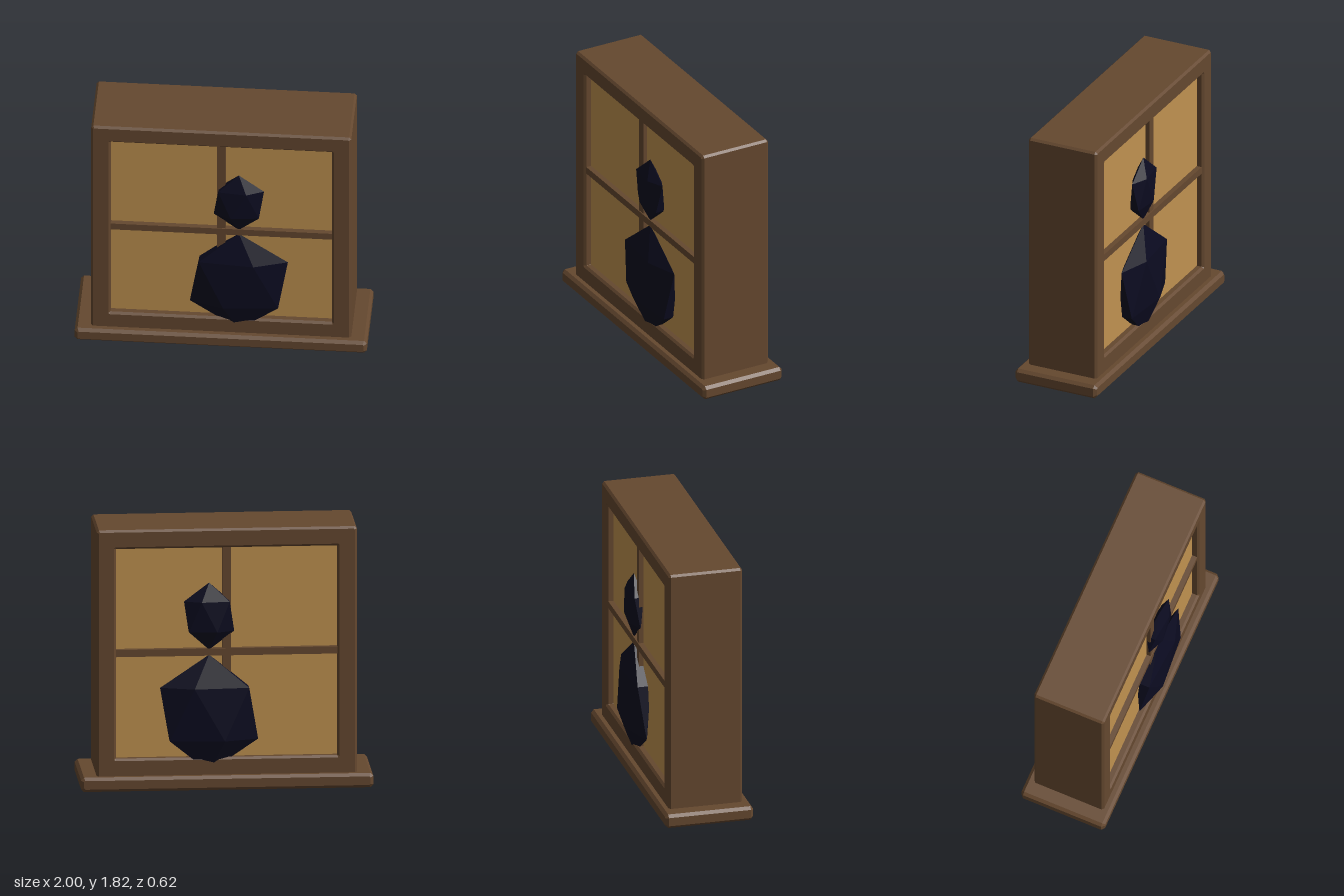
import * as THREE from 'three';
import { ConvexGeometry } from 'three/addons/geometries/ConvexGeometry.js';

const mat = (name, color) => {
  const m = new THREE.MeshStandardMaterial({ color });
  m.name = name;
  return m;
};

// Rectangle outline with clipped corners
function outline(Type, x0, y0, x1, y1, c) {
  const pts = [
    [x0 + c, y0], [x1 - c, y0], [x1, y0 + c], [x1, y1 - c],
    [x1 - c, y1], [x0 + c, y1], [x0, y1 - c], [x0, y0 + c],
  ];
  return new Type(pts.map(([x, y]) => new THREE.Vector2(x, y)));
}

// Extrusion centred on z = 0 with a single flat chamfer on its front and back edges
function chamfered(shape, depth, c) {
  const g = new THREE.ExtrudeGeometry(shape, {
    depth: depth - 2 * c, bevelEnabled: true, bevelThickness: c,
    bevelSize: c, bevelOffset: -c, bevelSegments: 1,
  });
  return g.translate(0, 0, -depth / 2 + c);
}

// Twelve-point faceted blob: two poles and two staggered rings of five
function facetedBlob(rx, ry, rz) {
  const h = 1 / Math.sqrt(5), r = 2 * h;
  const pts = [new THREE.Vector3(0, ry, 0), new THREE.Vector3(0, -ry, 0)];
  for (let i = 0; i < 5; i++) {
    const a = (i * Math.PI * 2) / 5;
    const x = rx * r * Math.cos(a), z = rz * r * Math.sin(a);
    pts.push(new THREE.Vector3(x, ry * h, z), new THREE.Vector3(-x, -ry * h, -z));
  }
  return new ConvexGeometry(pts);
}

export function createModel() {
  const model = new THREE.Group();
  model.name = 'window';
  const wood = mat('brown wood', 0x65482f);
  const amber = mat('amber glass', 0xc09250);
  const dark = mat('midnight silhouette', 0x0b0b20);

  const add = (name, geometry, material, x = 0, y = 0, z = 0) => {
    const mesh = new THREE.Mesh(geometry, material);
    mesh.name = name;
    mesh.position.set(x, y, z);
    model.add(mesh);
  };

  // Sill and deep frame with one opening
  add('sill', chamfered(outline(THREE.Shape, -1, 0, 1, 0.1, 0.02), 0.62, 0.02), wood);
  const frame = outline(THREE.Shape, -0.89, 0.08, 0.89, 1.82, 0.015);
  frame.holes.push(outline(THREE.Path, -0.757, 0.22, 0.757, 1.687, 0.001));
  add('frame', chamfered(frame, 0.52, 0.015), wood);

  // Each face has its own pane, crossing bars and two-part silhouette
  for (const [side, s] of [['front', 1], ['back', -1]]) {
    add(side + 'Pane', new THREE.BoxGeometry(1.53, 1.49, 0.02), amber, 0, 0.953, s * 0.2);
    add(side + 'VerticalBar', new THREE.BoxGeometry(0.058, 1.48, 0.05), wood, 0, 0.953, s * 0.215);
    add(side + 'HorizontalBar', new THREE.BoxGeometry(1.52, 0.05, 0.05), wood, 0, 0.955, s * 0.222);
    add(side + 'SilhouetteBody', facetedBlob(0.375, 0.41, 0.088), dark, 0.12, 0.525, s * 0.237);
    add(side + 'SilhouetteHead', facetedBlob(0.192, 0.235, 0.062), dark, 0.12, 1.205, s * 0.237);
  }
  return model;
}
